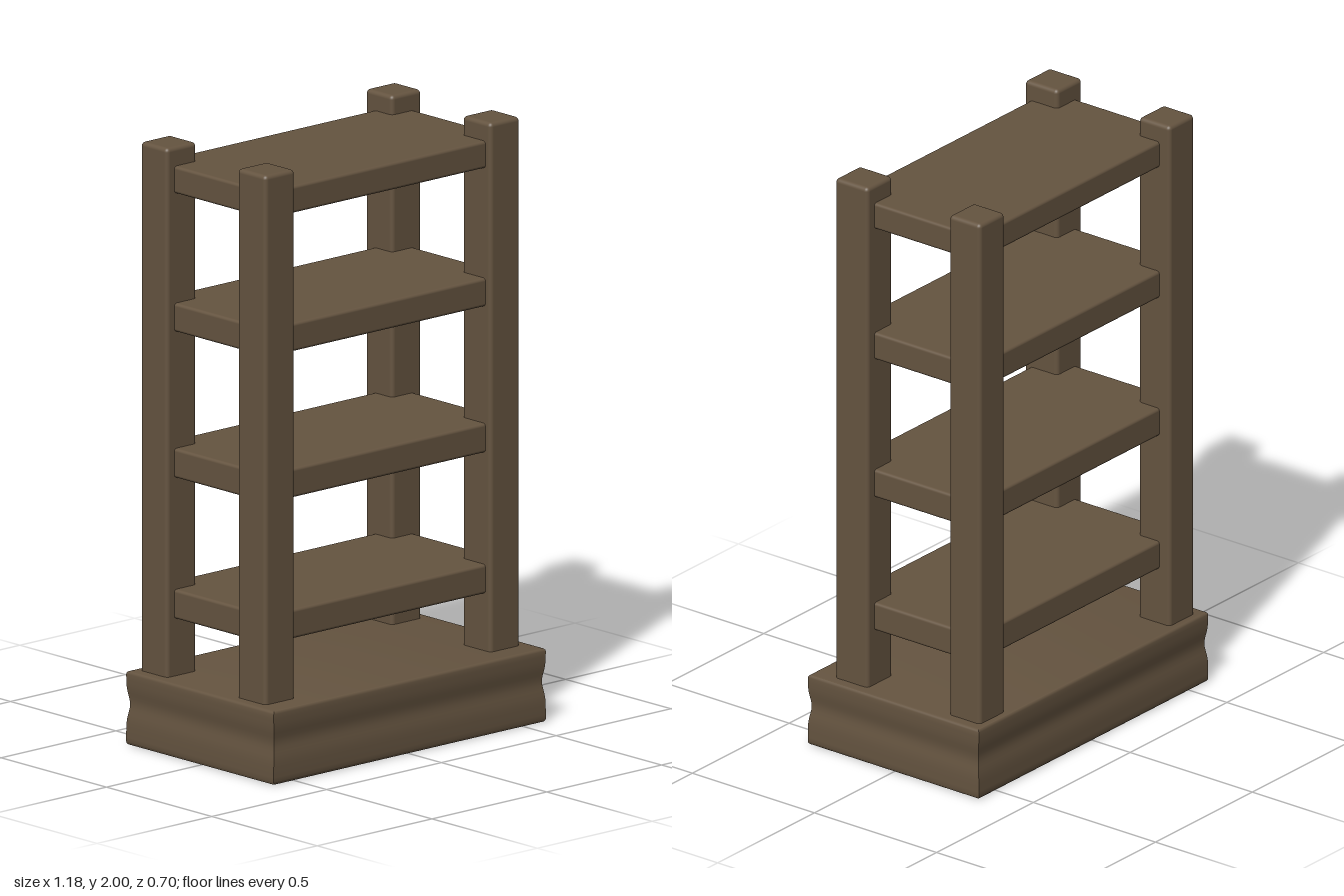
import * as THREE from 'three';
import { RoundedBoxGeometry } from 'three/addons/geometries/RoundedBoxGeometry.js';
import { toCreasedNormals } from 'three/addons/utils/BufferGeometryUtils.js';

const wood = new THREE.MeshStandardMaterial({ color: 0x655440 });
wood.name = 'dark brown wood';

// Softly rounded box given by its minimum and maximum corners
function roundedBlock(name, min, max, radius) {
  const size = max.map((v, i) => v - min[i]);
  const mesh = new THREE.Mesh(new RoundedBoxGeometry(...size, 3, radius), wood);
  mesh.position.set(...max.map((v, i) => (v + min[i]) / 2));
  mesh.name = name;
  return mesh;
}

// Plinth: bevelled slab whose sides dip in slightly around mid height
function plinth(width, height, depth) {
  const bevel = 0.01;
  const w = width / 2 - bevel, d = depth / 2 - bevel;
  const outline = new THREE.Shape([
    [-w, -d], [w, -d], [w, d], [-w, d],
  ].map(([x, y]) => new THREE.Vector2(x, y)));
  const geometry = new THREE.ExtrudeGeometry(outline, {
    depth: height - 2 * bevel, steps: 14,
    bevelThickness: bevel, bevelSize: bevel, bevelSegments: 3,
  });
  geometry.rotateX(-Math.PI / 2).translate(0, bevel, 0);
  const p = geometry.attributes.position;
  for (let i = 0; i < p.count; i++) {
    const dip = 0.009 * Math.exp(-(((p.getY(i) - 0.135) / 0.04) ** 2));
    p.setX(i, p.getX(i) * (1 - dip / (width / 2)));
    p.setZ(i, p.getZ(i) * (1 - dip / (depth / 2)));
  }
  const mesh = new THREE.Mesh(toCreasedNormals(geometry, 0.7), wood);
  mesh.name = 'plinth';
  return mesh;
}

export function createModel() {
  const model = new THREE.Group();
  model.name = 'shelfRack';
  model.add(plinth(1.185, 0.245, 0.7));

  // Four corner posts, set in from the plinth edge
  for (const [side, x] of [['right', -0.555], ['left', 0.425]]) {
    for (const [end, z0, z1] of [['front', 0.135, 0.27], ['back', -0.325, -0.197]]) {
      model.add(roundedBlock(`${end}${side === 'left' ? 'Left' : 'Right'}Post`,
        [x, 0.22, z0], [x + 0.13, 2, z1], 0.014));
    }
  }

  // Shelves running between the posts
  [[0.435, 0.532], [0.903, 1.0], [1.388, 1.482], [1.847, 1.937]].forEach(([y0, y1], i) => {
    model.add(roundedBlock(`shelf${i + 1}`, [-0.523, y0, -0.283], [0.52, y1, 0.246], 0.01));
  });
  return model;
}
